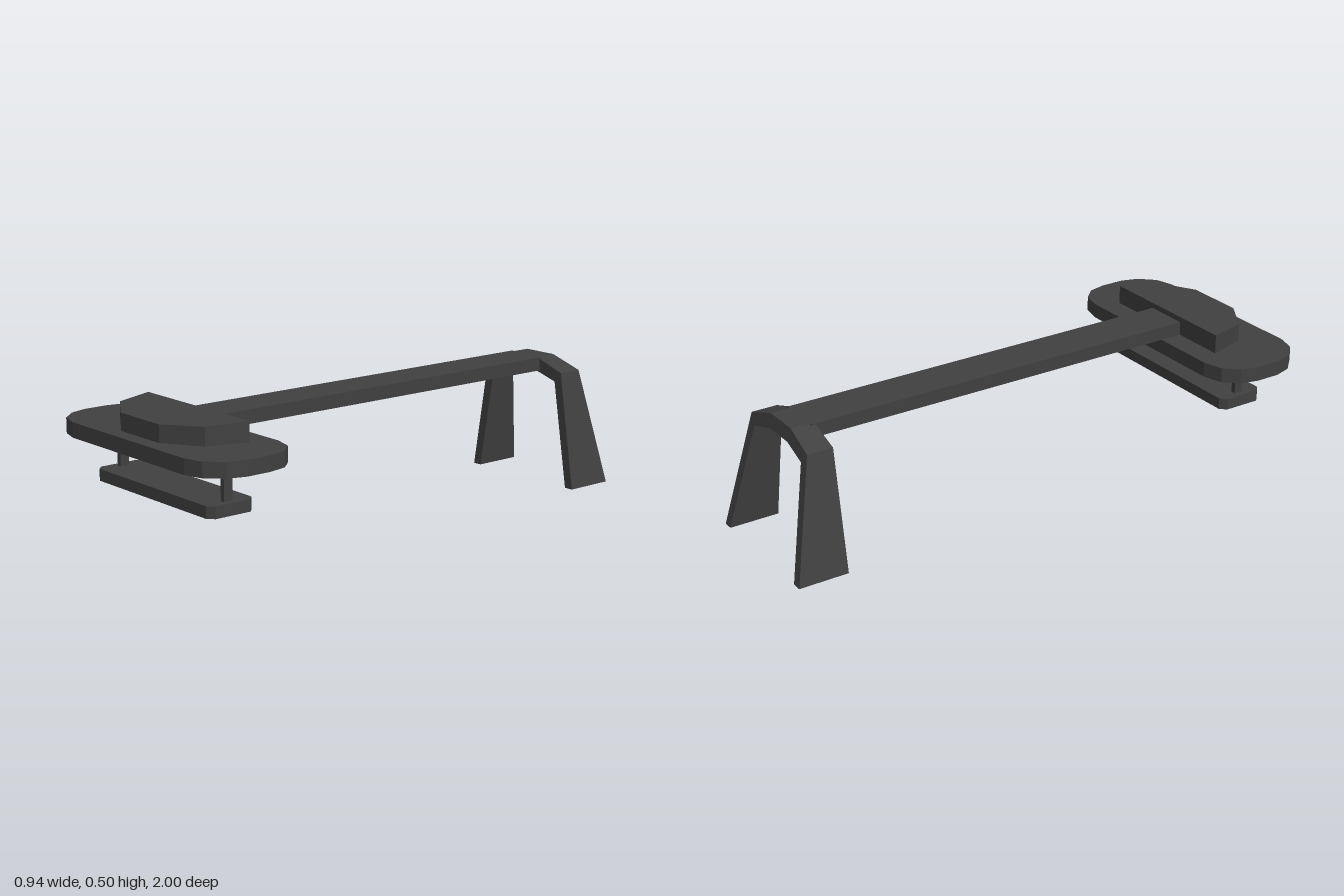
import * as THREE from 'three';

export function createModel() {
  const group = new THREE.Group();
  const charcoal = new THREE.MeshStandardMaterial({ color: 0x404040 });
  charcoal.name = 'charcoal';

  const add = (name, geometry) => {
    const mesh = new THREE.Mesh(geometry, charcoal);
    mesh.name = name;
    group.add(mesh);
    return mesh;
  };
  // Closed outline from its right half, mirrored in x
  const mirrored = (half) => new THREE.Shape(
    [...half, ...half.slice().reverse().map(([x, y]) => [-x, y])].map(([x, y]) => new THREE.Vector2(x, y)));
  // Horizontal plate with an x/z outline between two heights
  const plate = (half, bottom, top) =>
    new THREE.ExtrudeGeometry(mirrored(half), { depth: top - bottom, bevelEnabled: false })
      .rotateX(Math.PI / 2).translate(0, top, 0);
  const box = (name, w, h, d, x, y, z) =>
    add(name, new THREE.BoxGeometry(w, h, d)).position.set(x, y, z);

  // Rounded main platform
  add('platform', plate([[0.33, 0.63], [0.405, 0.65], [0.452, 0.7], [0.468, 0.77],
    [0.468, 0.86], [0.448, 0.925], [0.395, 0.98], [0.325, 1]], 0.376, 0.43));

  // Raised block whose top slopes down toward the front
  const block = plate([[0.288, 0.715], [0.245, 0.86], [0.11, 0.945]], 0.43, 0.5);
  const bp = block.attributes.position;
  for (let i = 0; i < bp.count; i++) {
    if (bp.getY(i) > 0.46) bp.setY(i, 0.5 - (bp.getZ(i) - 0.715) * 0.035);
  }
  block.computeVertexNormals();
  add('raisedBlock', block);

  // Lower shelf with clipped corners, hung on two struts
  add('lowerShelf', plate([[0.31, 0.727], [0.332, 0.748], [0.332, 0.887], [0.31, 0.908]], 0.213, 0.255));
  for (const side of [-1, 1]) box('strut', 0.018, 0.124, 0.034, side * 0.299, 0.316, 0.818);

  // Long connecting beam
  box('beam', 0.166, 0.05, 1.55, 0, 0.455, -0.055);

  // Rear legs as one arch, with the back face leaning outward to the feet
  const arch = new THREE.ExtrudeGeometry(
    mirrored([[0.07, 0.48], [0.195, 0.437], [0.268, 0], [0.232, 0], [0.164, 0.4], [0.06, 0.43]]),
    { depth: 0.1, bevelEnabled: false });
  const ap = arch.attributes.position;
  for (let i = 0; i < ap.count; i++) {
    ap.setZ(i, ap.getZ(i) > 0.05 ? -0.813 : -1 + ap.getY(i) * 0.208);
  }
  arch.computeVertexNormals();
  add('rearLegArch', arch);

  return group;
}
